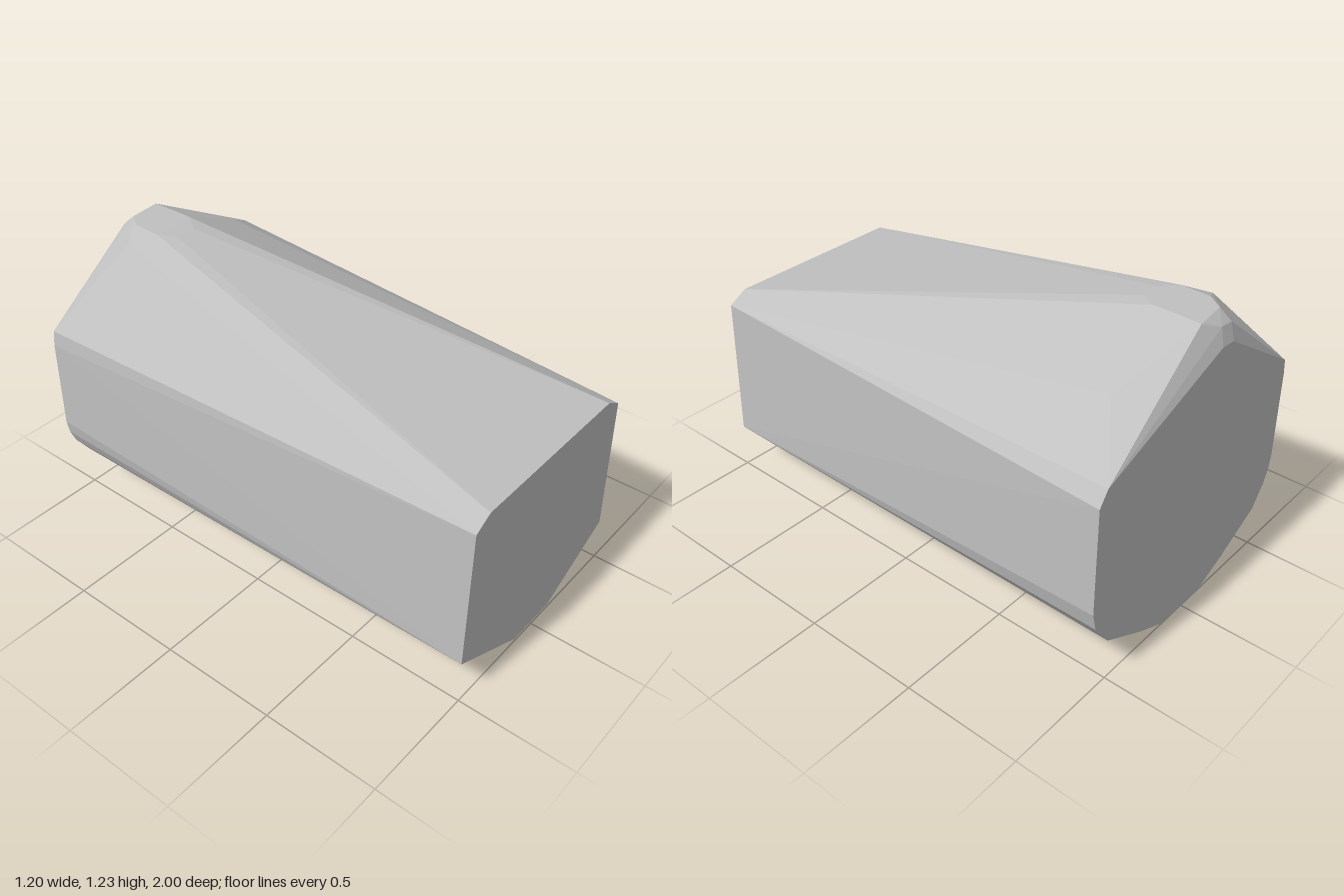
import * as THREE from 'three';
import { ConvexGeometry } from 'three/addons/geometries/ConvexGeometry.js';

// Places a 2D outline at a given depth
const section = (z, outline) => outline.map(([x, y]) => new THREE.Vector3(x, y, z));

export function createModel() {
  const model = new THREE.Group();
  const grey = new THREE.MeshStandardMaterial({ color: 0xc0c0c0 });
  grey.name = 'light grey';

  // Narrow front end
  const front = section(1, [
    [-0.4, 0.85], [0.4, 0.85], [0.48, 0.805], [0.495, 0.195],
    [0.12, 0.012], [-0.12, 0.012], [-0.5, 0.195], [-0.48, 0.805],
  ]);

  // Wider back end with a rounded underside and a blunt peak
  const back = section(-1, [
    [-0.59, 0.845], [-0.598, 0.78], [-0.6, 0.39], [-0.59, 0.33], [-0.565, 0.27], [-0.5, 0.18],
    [-0.28, 0.066], [-0.15, 0.01], [-0.1, 0.001], [0.1, 0], [0.15, 0.008], [0.28, 0.066],
    [0.495, 0.18], [0.575, 0.29], [0.595, 0.37], [0.597, 0.83], [0.555, 0.89],
    [-0.09, 1.125], [-0.16, 1.12],
  ]);

  // Rounded hump on top, near the back
  const hump = [
    [-0.08, 1.217, -0.67], [-0.17, 1.217, -0.67],
    [-0.03, 1.224, -0.74], [-0.22, 1.224, -0.73],
    [-0.03, 1.225, -0.82], [-0.215, 1.225, -0.86],
    [-0.03, 1.222, -0.94], [-0.17, 1.224, -0.925],
    [-0.11, 1.19, -0.975], [-0.18, 1.18, -0.972],
    [-0.3, 1.19, -0.82], [0.31, 1.05, -0.82],
  ].map((p) => new THREE.Vector3(...p));

  // One faceted convex body
  const body = new THREE.Mesh(new ConvexGeometry([...front, ...back, ...hump]), grey);
  body.name = 'body';
  model.add(body);
  return model;
}
